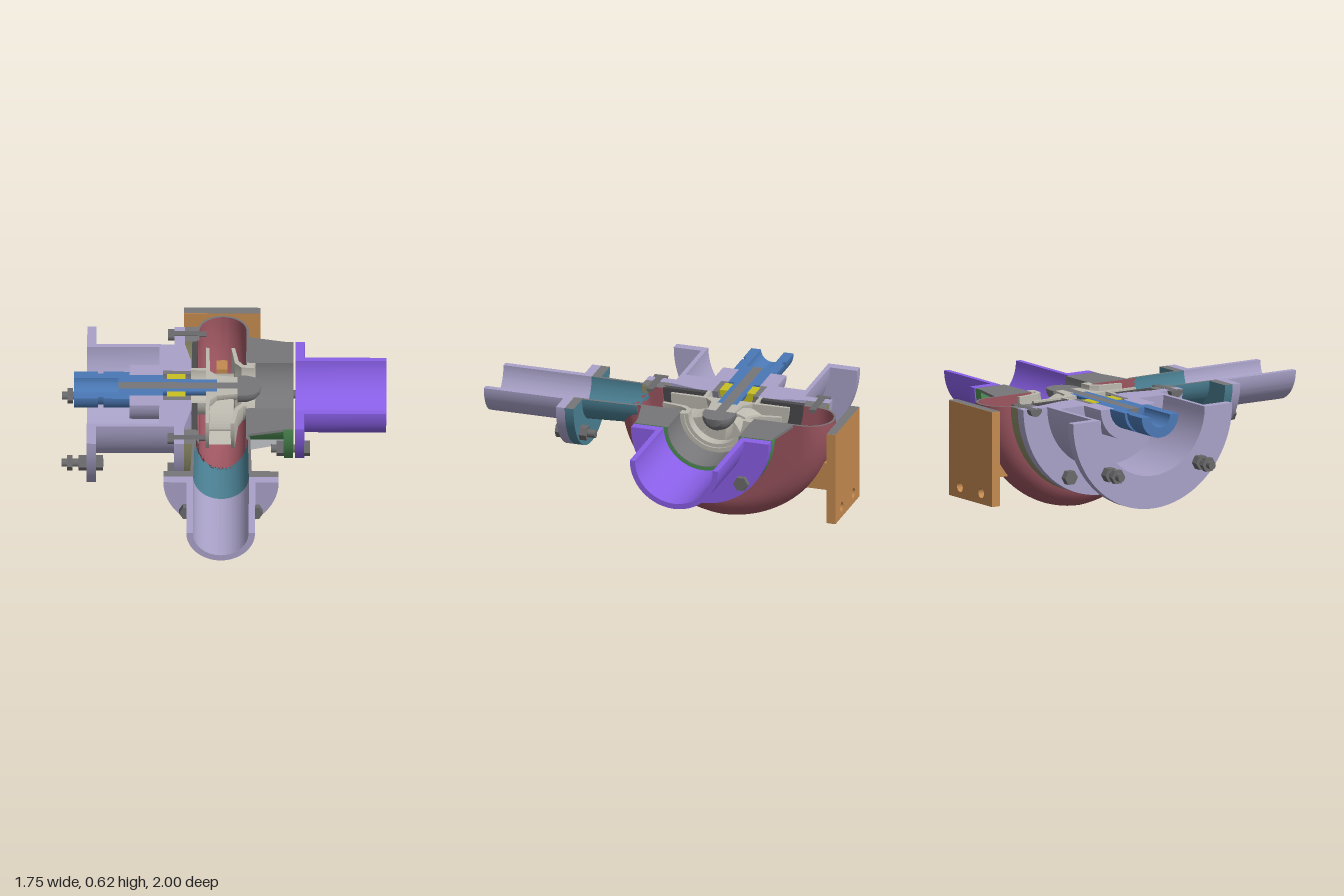
import * as THREE from 'three';
import { mergeGeometries, toCreasedNormals } from 'three/addons/utils/BufferGeometryUtils.js';

const C = { lilac: 0xa9a2c8, purple: 0x8a60e8, red: 0x9c5560, teal: 0x4a7f92, orange: 0xc48a50, blue: 0x4a78b5,
  green: 0x4f8f55, olive: 0x8c8a66, grey: 0x77777a, bolt: 0x6a6a6c, pale: 0xbdbab0, yellow: 0xc8c020, rib: 0xc4c6cc };
const mats = {};
const mat = (color) => (mats[color] ??= new THREE.MeshStandardMaterial({ color, side: THREE.DoubleSide }));

function mesh(name, geo, color) {
  const m = new THREE.Mesh(geo, mat(color));
  m.name = name;
  return m;
}

// Apply a vertex rule and drop unwanted triangles
function edit(geo, rule, drop) {
  const g = geo.index ? geo.toNonIndexed() : geo;
  const p = g.attributes.position, v = new THREE.Vector3(), c = new THREE.Vector3();
  if (rule) for (let i = 0; i < p.count; i++) {
    rule(v.fromBufferAttribute(p, i));
    p.setXYZ(i, v.x, v.y, v.z);
  }
  if (drop) {
    const kept = [];
    for (let i = 0; i < p.count; i += 3) {
      c.set(0, 0, 0);
      for (let k = 0; k < 3; k++) c.add(v.fromBufferAttribute(p, i + k));
      if (!drop(c.divideScalar(3))) kept.push(i, i + 1, i + 2);
    }
    g.setIndex(kept);
  }
  return toCreasedNormals(g, 0.5);
}

// Lower half of a solid turned about the x axis from a closed (x, r) profile,
// with flat cut faces at y = 0
function half(name, pts, color, cut = color, rule = null, drop = null) {
  const group = new THREE.Group();
  group.name = name;
  let ring = pts.map(([x, r]) => new THREE.Vector2(r, x));
  if (THREE.ShapeUtils.area(ring) < 0) ring.reverse();
  ring.push(ring[0].clone());
  const turned = new THREE.LatheGeometry(ring, 56, 0, Math.PI).rotateZ(-Math.PI / 2);
  const caps = [1, -1].map((s) => new THREE.ShapeGeometry(
    new THREE.Shape(pts.map(([x, r]) => new THREE.Vector2(x, s * r)))).rotateX(-Math.PI / 2));
  group.add(mesh(name + 'Body', edit(turned, rule, drop), color));
  group.add(mesh(name + 'CutFace', edit(mergeGeometries(caps), rule, drop), cut));
  return group;
}

const tube = (x0, x1, r0, r1) => [[x0, r0], [x0, r1], [x1, r1], [x1, r0]];

// Stud along x with hexagonal heads or nuts over the given spans
function bolt(name, x0, x1, hexes, radius, angle) {
  const group = new THREE.Group();
  group.name = name;
  const rod = (a, b, r, n) => new THREE.CylinderGeometry(r, r, b - a, n).rotateZ(Math.PI / 2).translate((a + b) / 2, 0, 0);
  group.add(mesh('stud', rod(x0, x1, 0.022, 16), C.bolt));
  for (const [a, b] of hexes) group.add(mesh('hexNut', toCreasedNormals(rod(a, b, 0.042, 6), 0.5), C.bolt));
  group.position.set(0, -radius * Math.sin(angle), radius * Math.cos(angle));
  return group;
}

// U-shaped arch of the volute section
function arch(r, reverse) {
  const pts = [];
  for (let i = 0; i <= 20; i++) {
    const a = Math.PI * (1 - i / 20);
    pts.push([-0.01 + r * Math.cos(a), 0.48 + r * Math.sin(a)]);
  }
  return reverse ? pts.reverse() : pts;
}

export function createModel() {
  const root = new THREE.Group();
  root.name = 'sectionedPump';
  const pump = new THREE.Group();
  pump.name = 'pumpBody';
  pump.position.set(0, 0.63, -0.31);
  root.add(pump);

  // Volute shrinks toward the outlet side and opens into the outlet neck
  const shrink = (v) => {
    const r = Math.hypot(v.y, v.z);
    if (r <= 0.42) return;
    const k = (0.42 + (r - 0.42) * (1 - 0.2 * Math.max(0, v.z / r))) / r;
    v.y *= k;
    v.z *= k;
  };
  const outlet = (c) => c.z > 0.2 && Math.hypot(c.y, c.z) > 0.475 && Math.hypot(c.x + 0.01, c.y) < 0.145;
  pump.add(half('volute', [[-0.15, 0.4], ...arch(0.14), [0.13, 0.205], [0.115, 0.205], ...arch(0.127, true), [-0.137, 0.4]],
    C.red, C.grey, shrink, outlet));

  // Suction side: neck with flange, ribs, connecting pipe
  pump.add(half('suctionNeck', [[0.13, 0.205], [0.13, 0.29], [0.32, 0.29], [0.32, 0.39], [0.37, 0.39], [0.37, 0.205]], C.green, C.grey));
  pump.add(half('suctionBoreLining', tube(0.116, 0.369, 0.201, 0.205), C.grey));
  const ribShape = new THREE.Shape([[0.13, 0.28], [0.13, 0.43], [0.32, 0.39], [0.32, 0.28]].map(([x, r]) => new THREE.Vector2(x, -r)));
  for (const a of [0, Math.PI / 2, -Math.PI / 2]) {
    const rib = mesh('neckRib', new THREE.ExtrudeGeometry(ribShape, { depth: 0.015, bevelEnabled: false })
      .translate(0, 0, -0.0075).rotateX(a), a ? C.grey : C.rib);
    rib.position.y = a ? -0.0075 : 0;
    pump.add(rib);
  }
  pump.add(half('suctionPipe', [[0.38, 0.22], [0.38, 0.39], [0.43, 0.39], [0.43, 0.25], [0.87, 0.25], [0.87, 0.22]], C.purple));

  // Bearing bracket with hollow barrel and inner hub
  pump.add(half('bearingBracket', [[-0.74, 0.34], [-0.74, 0.52], [-0.69, 0.52], [-0.69, 0.365], [-0.27, 0.365], [-0.27, 0.52],
    [-0.215, 0.52], [-0.215, 0.37], [-0.18, 0.22], [-0.18, 0.13], [-0.33, 0.13], [-0.33, 0.09], [-0.51, 0.09],
    [-0.51, 0.18], [-0.35, 0.18], [-0.35, 0.34]], C.lilac));
  pump.add(half('casingRing', tube(-0.215, -0.15, 0.39, 0.52), C.olive, C.grey));
  pump.add(half('backPlate', tube(-0.175, -0.145, 0.155, 0.4), 0x4a4a4c));

  // Shaft, sleeve and packing
  pump.add(half('shaftSleeve', [[-0.81, 0.065], [-0.81, 0.12], [-0.68, 0.12], [-0.68, 0.105], [-0.65, 0.105], [-0.65, 0.12],
    [-0.51, 0.12], [-0.51, 0.09], [-0.33, 0.09], [-0.33, 0.055], [-0.04, 0.055], [-0.04, 0.028], [-0.57, 0.028], [-0.57, 0.065]], C.blue));
  pump.add(half('shaft', tube(-0.57, 0.09, 0, 0.028), C.grey));
  pump.add(half('glandPacking', tube(-0.31, -0.21, 0.055, 0.1), C.yellow));
  pump.add(half('glandRing', tube(-0.33, -0.18, 0.1, 0.13), C.grey));

  // Impeller
  pump.add(half('impellerBackShroud', [[-0.1, 0.055], [-0.1, 0.335], [-0.083, 0.335], [-0.078, 0.13], [-0.04, 0.09], [0.07, 0.075],
    [0.07, 0.028], [-0.04, 0.028], [-0.04, 0.055]], C.pale));
  pump.add(half('impellerFrontShroud', [[0.035, 0.335], [0.055, 0.335], [0.075, 0.22], [0.1, 0.185], [0.16, 0.175], [0.16, 0.155],
    [0.09, 0.16], [0.055, 0.2]], C.pale));
  pump.add(half('impellerWearRing', tube(-0.18, -0.1, 0.135, 0.155), C.pale));
  pump.add(half('frontWearRing', tube(0.12, 0.165, 0.177, 0.203), C.pale));
  pump.add(half('impellerNut', [[0.07, 0], [0.07, 0.09], [0.12, 0.088], [0.16, 0.075], [0.19, 0.045], [0.2, 0]], C.grey));
  for (let i = 0; i < 5; i++) {
    const side = (off) => Array.from({ length: 9 }, (_, k) => {
      const r = 0.08 + 0.03 * k, a = 0.12 + i * 0.6 + 0.05 * k + off / r;
      return new THREE.Vector2(r * Math.cos(a), -r * Math.sin(a));
    });
    const vane = new THREE.Shape([...side(0), ...side(0.012).reverse()]);
    pump.add(mesh('impellerVane', new THREE.ExtrudeGeometry(vane, { depth: 0.135, bevelEnabled: false })
      .rotateY(Math.PI / 2).translate(-0.085, 0, 0), C.pale));
  }

  // Bolts, with the two on the cut plane halved
  const P = Math.PI;
  for (const a of [P / 3, 2 * P / 3]) pump.add(bolt('casingBolt', -0.3, -0.14, [[-0.305, -0.27]], 0.46, a));
  for (const s of [1, -1]) {
    const b = half('cutCasingBolt', [[-0.305, 0], [-0.305, 0.038], [-0.27, 0.038], [-0.27, 0.02], [-0.1, 0.02], [-0.1, 0]], C.bolt);
    b.position.set(0, 0.001, s * 0.46);
    pump.add(b);
  }
  for (const a of [P / 4, 3 * P / 4]) {
    pump.add(bolt('bracketBolt', -0.875, -0.65, [[-0.845, -0.815], [-0.785, -0.74], [-0.69, -0.652]], 0.42, a));
    pump.add(bolt('suctionBolt', 0.25, 0.45, [[0.43, 0.46], [0.28, 0.32]], 0.34, a));
  }

  // Outlet: neck trimmed to the volute surface, flanges and pipe
  const out = new THREE.Group();
  out.name = 'outlet';
  out.rotation.y = -P / 2;
  out.position.set(-0.015, 0.63, 0);
  root.add(out);
  const trim = (v) => {
    if (v.x > 0.2) return;
    const s = Math.sqrt(Math.max(0, 1 - (v.z / 0.14) ** 2));
    v.x = -0.325 + Math.sqrt((0.468 + 0.112 * s) ** 2 - v.y ** 2);
  };
  out.add(half('outletNeck', [[0.1, 0.143], [0.1, 0.155], [0.45, 0.165], [0.45, 0.31], [0.5, 0.31], [0.5, 0.15], [0.45, 0.148]], C.teal, C.grey, trim));
  out.add(half('outletPipe', [[0.5, 0.15], [0.5, 0.31], [0.55, 0.31], [0.55, 0.185], [1, 0.185], [1, 0.15]], C.lilac));
  for (const a of [P / 4, 3 * P / 4]) out.add(bolt('outletBolt', 0.365, 0.57, [[0.55, 0.585], [0.41, 0.45]], 0.26, a));

  // Wall support plate with two holes, joined by a short arm
  const plate = new THREE.Shape([[-0.22, 0.11], [0.19, 0.11], [0.19, 0.63], [-0.22, 0.63]].map(([x, y]) => new THREE.Vector2(x, y)));
  for (const x of [-0.115, 0.085]) plate.holes.push(new THREE.Path().absarc(x, 0.17, 0.027, 0, 2 * P, true));
  root.add(mesh('supportPlate', new THREE.ExtrudeGeometry(plate, { depth: 0.05, bevelEnabled: false }).translate(0, 0, -1), C.orange));
  root.add(mesh('supportPlateCutFace', new THREE.PlaneGeometry(0.41, 0.05).rotateX(-P / 2).translate(-0.015, 0.631, -0.975), C.grey));
  root.add(mesh('supportArm', new THREE.BoxGeometry(0.06, 0.155, 0.17).translate(-0.015, 0.303, -0.865), C.orange));
  return root;
}
